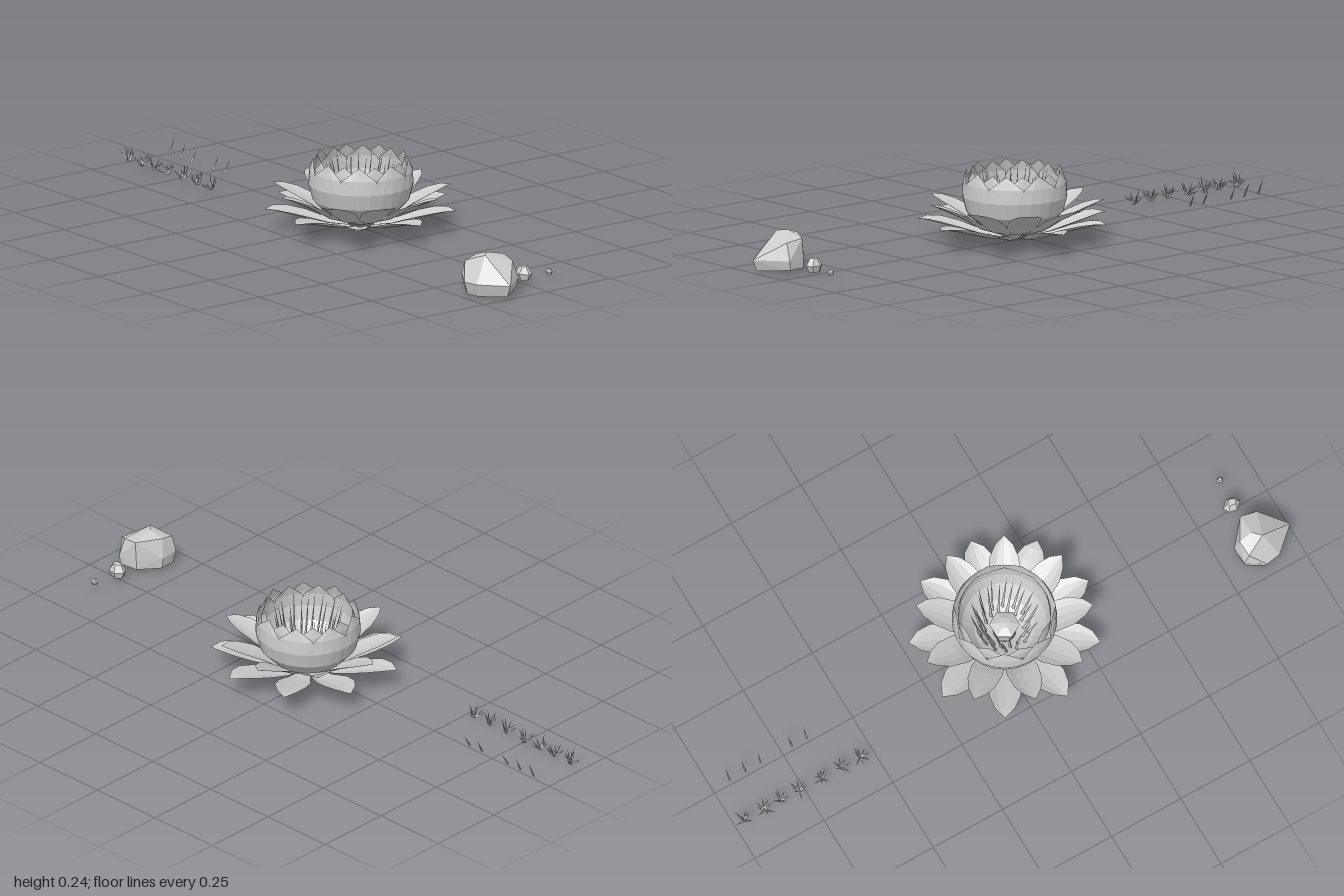
import * as THREE from 'three';
import { ConvexGeometry } from 'three/addons/geometries/ConvexGeometry.js';

const material = new THREE.MeshStandardMaterial({ color: 0xcccccc, flatShading: true, side: THREE.DoubleSide });

// Small seeded generator for natural variation
function seeded(seed) {
  return () => (seed = (seed * 16807) % 2147483647) / 2147483647;
}

function part(name, geometry, parent) {
  const mesh = new THREE.Mesh(geometry, material);
  mesh.name = name;
  parent.add(mesh);
  return mesh;
}

// Petal from cross-sections: rows of [radius, height, half width], wrapped about the flower axis
function petalGeometry(rows, cup) {
  const pos = [], index = [], cols = 4;
  rows.forEach(([r, y, w], i) => {
    for (let j = 0; j <= cols; j++) {
      const u = (j / cols) * 2 - 1, a = (u * w) / r;
      pos.push(r * Math.cos(a), y + cup * u * u * (w / 0.05), r * Math.sin(a));
      if (i && j) {
        const d = i * (cols + 1) + j, b = d - cols - 1;
        index.push(b - 1, b, d - 1, b, d, d - 1);
      }
    }
  });
  const g = new THREE.BufferGeometry();
  g.setAttribute('position', new THREE.Float32BufferAttribute(pos, 3));
  g.setIndex(index);
  g.computeVertexNormals();
  return g;
}

// Slim three-sided blade from a base point to a tip
function blade(name, base, tip, radius, parent) {
  const dir = tip.clone().sub(base), length = dir.length();
  const g = new THREE.ConeGeometry(radius, length, 3).translate(0, length / 2, 0);
  const mesh = part(name, g, parent);
  mesh.position.copy(base);
  mesh.quaternion.setFromUnitVectors(new THREE.Vector3(0, 1, 0), dir.normalize());
}

function createFlower() {
  const flower = new THREE.Group();
  flower.name = 'flower';
  flower.position.x = 0.05;

  // Four rings of nine petals, each staggered by half a step
  const rings = [
    { name: 'lowerPetal', turn: 0, cup: 0.012,
      rows: [[0.04, 0.016, 0.015], [0.11, 0.026, 0.035], [0.18, 0.046, 0.052], [0.235, 0.062, 0.05], [0.275, 0.072, 0.032], [0.305, 0.075, 0]] },
    { name: 'upperPetal', turn: 0.5, cup: 0.01,
      rows: [[0.04, 0.024, 0.018], [0.11, 0.046, 0.042], [0.17, 0.083, 0.052], [0.22, 0.108, 0.046], [0.255, 0.125, 0.028], [0.282, 0.136, 0]] },
    { name: 'bowlPetal', turn: 0, cup: 0,
      rows: [[0.04, 0.025, 0.02], [0.11, 0.055, 0.048], [0.152, 0.1, 0.066], [0.165, 0.15, 0.07], [0.162, 0.195, 0.055], [0.151, 0.236, 0]] },
    { name: 'innerPetal', turn: 0.5, cup: 0,
      rows: [[0.035, 0.035, 0.018], [0.095, 0.065, 0.04], [0.132, 0.11, 0.054], [0.146, 0.155, 0.06], [0.146, 0.198, 0.047], [0.139, 0.234, 0]] },
  ];
  for (const { name, rows, turn, cup } of rings) {
    const geometry = petalGeometry(rows, cup);
    for (let i = 0; i < 9; i++) {
      part(name, geometry, flower).rotation.y = ((i + turn) * 2 * Math.PI) / 9;
    }
  }

  // Seed head in the middle of the bowl
  const head = [[0.001, 0.022], [0.035, 0.026], [0.04, 0.06], [0.048, 0.095], [0.02, 0.107], [0, 0.11]];
  part('seedHead', new THREE.LatheGeometry(head.map(([x, y]) => new THREE.Vector2(x, y)), 6), flower);

  // Stamens leaning outward in two rings
  const random = seeded(7);
  for (let i = 0; i < 28; i++) {
    const a = (i / 28) * Math.PI * 2, r = i % 2 ? 0.075 : 0.06;
    const at = (radius, y, angle) => new THREE.Vector3(radius * Math.cos(angle), y, radius * Math.sin(angle));
    blade('stamen', at(r, 0.05, a), at(r + 0.035, 0.205 + random() * 0.042, a + 0.15), 0.006, flower);
  }
  return flower;
}

function createRocks() {
  const rocks = new THREE.Group();
  rocks.name = 'rocks';
  // Large faceted boulder
  const points = [
    [0.87, 0.005, 0.215], [0.815, 0.012, 0.185], [0.81, 0.014, 0.13], [0.86, 0.015, 0.065], [0.92, 0.015, 0.058], [0.985, 0.008, 0.145], [0.915, 0.004, 0.205],
    [0.87, 0.045, 0.226], [0.808, 0.055, 0.19], [0.806, 0.05, 0.13], [0.86, 0.045, 0.065], [0.925, 0.045, 0.055], [1, 0.045, 0.145], [0.92, 0.045, 0.217],
    [0.82, 0.112, 0.14], [0.825, 0.1, 0.19], [0.865, 0.127, 0.135], [0.89, 0.125, 0.16], [0.865, 0.11, 0.066], [0.92, 0.1, 0.075],
  ];
  part('boulder', new ConvexGeometry(points.map((p) => new THREE.Vector3(...p))), rocks);

  // Two pebbles, chipped from jittered rings
  const pebbles = [
    { x: 0.875, y: 0.038, z: -0.004, size: [0.031, 0.023, 0.024], seed: 11 },
    { x: 0.886, y: 0.029, z: -0.096, size: [0.012, 0.01, 0.011], seed: 23 },
  ];
  for (const { x, y, z, size, seed } of pebbles) {
    const random = seeded(seed), pts = [];
    for (const [level, r] of [[-1, 0.7], [-0.1, 1], [0.9, 0.5]]) {
      for (let i = 0; i < 6; i++) {
        const a = (i / 6) * Math.PI * 2 + random() * 0.5;
        pts.push(new THREE.Vector3(r * Math.cos(a) * size[0], (level + random() * 0.1) * size[1], r * Math.sin(a) * size[2]));
      }
    }
    part('pebble', new ConvexGeometry(pts), rocks).position.set(x, y, z);
  }
  return rocks;
}

function createGrass() {
  const grass = new THREE.Group();
  grass.name = 'grass';
  const random = seeded(31);
  // Front row of tufts with splayed blades
  [-0.967, -0.895, -0.836, -0.768, -0.688, -0.617, -0.548].forEach((x) => {
    const tuft = new THREE.Group();
    tuft.name = 'grassTuft';
    tuft.position.set(x, 0.02, 0.13);
    grass.add(tuft);
    for (let i = 0; i < 8; i++) {
      const a = (i / 8) * Math.PI * 2 + random() * 0.6, reach = 0.012 + random() * 0.03;
      const base = new THREE.Vector3(Math.cos(a) * 0.004, 0, Math.sin(a) * 0.004);
      const tip = new THREE.Vector3(Math.cos(a) * reach, 0.07 - reach * 1.1 - random() * 0.015, Math.sin(a) * reach);
      blade('grassBlade', base, tip, 0.004, tuft);
    }
  });
  // Back row of single blades
  [-0.94, -0.882, -0.828, -0.715, -0.662].forEach((x) => {
    const base = new THREE.Vector3(x, 0.02, -0.008);
    blade('singleBlade', base, new THREE.Vector3(x - 0.004 + random() * 0.008, 0.06 + random() * 0.02, -0.032), 0.004, grass);
  });
  return grass;
}

export function createModel() {
  const model = new THREE.Group();
  model.name = 'waterLilyScene';
  model.add(createFlower(), createRocks(), createGrass());
  model.position.y = -0.004;
  const root = new THREE.Group();
  root.add(model);
  return root;
}
